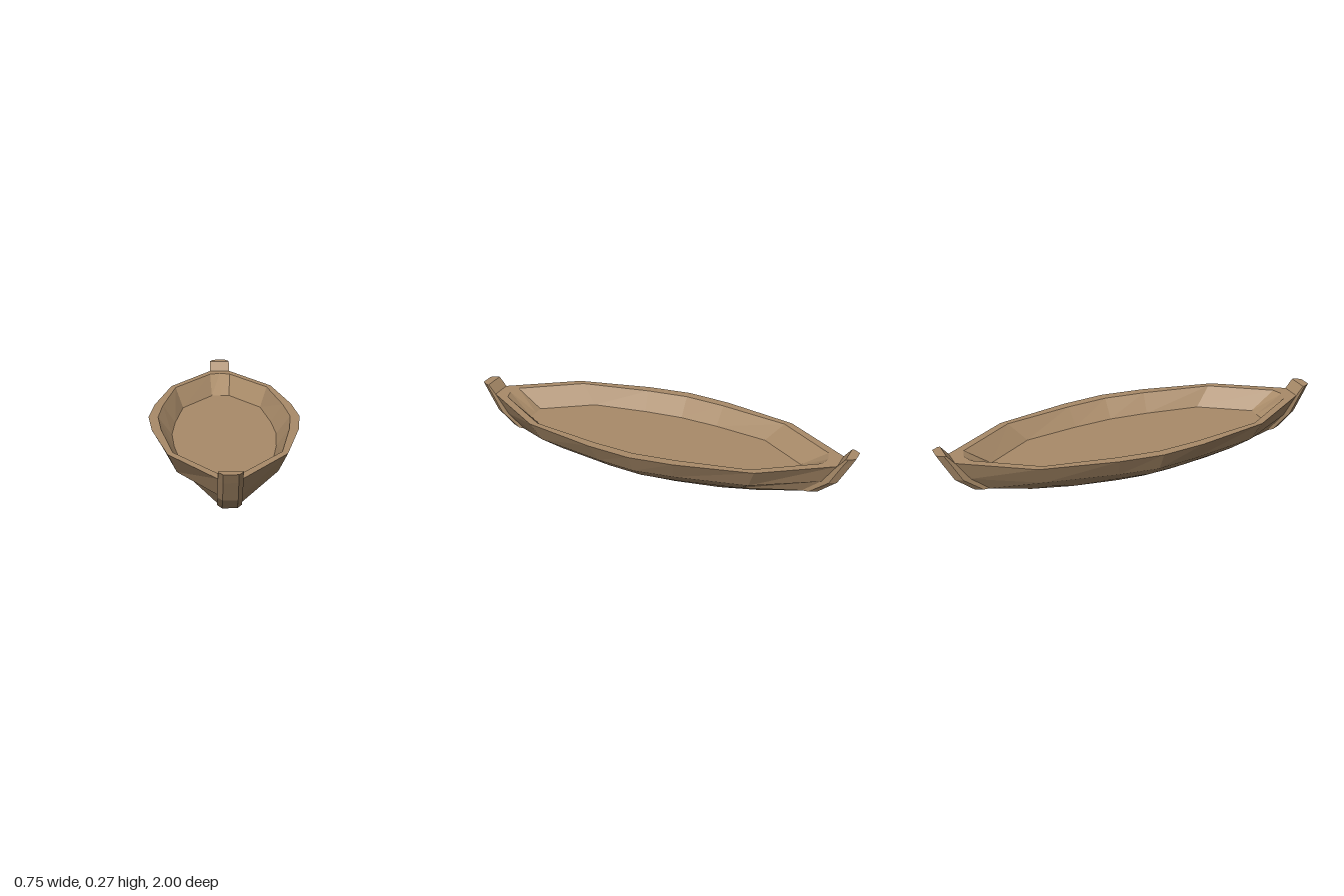
import * as THREE from 'three';

// Skin closed rings (ordered +x towards +z, from bottom to top) and cap both ends
function loft(rings) {
  const pos = [];
  const tri = (a, b, c) => pos.push(...a, ...b, ...c);
  const n = rings[0].length;
  const centre = (ring) => [0, 1, 2].map((k) => ring.reduce((s, p) => s + p[k], 0) / n);
  const first = rings[0], last = rings[rings.length - 1];
  const c0 = centre(first), c1 = centre(last);
  for (let j = 0; j < n; j++) {
    const k = (j + 1) % n;
    for (let i = 0; i < rings.length - 1; i++) {
      const a = rings[i], b = rings[i + 1];
      tri(a[j], b[j], a[k]);
      tri(b[j], b[k], a[k]);
    }
    tri(c0, first[j], first[k]);
    tri(c1, last[k], last[j]);
  }
  const geo = new THREE.BufferGeometry();
  geo.setAttribute('position', new THREE.Float32BufferAttribute(pos, 3));
  geo.computeVertexNormals();
  return geo;
}

// Mirror a quarter outline [x, z], side to bow, into a full ring at height y
function mirrorRing(y, quarter) {
  const back = quarter.slice(0, -1).reverse();
  return [
    ...quarter.map(([x, z]) => [x, y, z]),
    ...back.map(([x, z]) => [-x, y, z]),
    ...quarter.slice(1).map(([x, z]) => [-x, y, -z]),
    ...back.slice(0, -1).map(([x, z]) => [x, y, -z]),
  ];
}

export function createModel() {
  const model = new THREE.Group();
  model.name = 'boat';
  const wood = new THREE.MeshStandardMaterial({ color: 0xa98b69, flatShading: true });
  wood.name = 'wood';

  // Hull: outer planks, rim, inner wall and floor
  const hull = new THREE.Mesh(loft([
    mirrorRing(0, [[0.15, 0], [0.14, 0.14], [0.105, 0.36], [0.05, 0.55], [0, 0.55]]),
    mirrorRing(0.052, [[0.235, 0], [0.215, 0.18], [0.155, 0.48], [0.053, 0.76], [0, 0.76]]),
    mirrorRing(0.123, [[0.325, 0], [0.3, 0.2], [0.23, 0.55], [0.053, 0.85], [0, 0.85]]),
    mirrorRing(0.22, [[0.375, 0], [0.352, 0.22], [0.27, 0.59], [0.053, 0.92], [0, 0.92]]),
    mirrorRing(0.22, [[0.328, 0], [0.308, 0.21], [0.247, 0.56], [0.055, 0.845], [0, 0.862]]),
    mirrorRing(0.13, [[0.26, 0], [0.246, 0.2], [0.207, 0.475], [0.048, 0.715], [0, 0.715]]),
  ]), wood);
  hull.name = 'hull';
  model.add(hull);

  // Stem posts: tapered beams at bow and stern, [y, inner z, shoulder z, outer z]
  const sections = [
    [0.053, 0.74, 0.79, 0.83],
    [0.123, 0.83, 0.885, 0.92],
    [0.22, 0.919, 0.94, 0.975],
    [0.266, 0.957, 0.968, 1],
  ];
  const stemGeometry = loft(sections.map(([y, zi, zs, zo]) => [
    [0.054, y, zi], [0.054, y, zs], [0.033, y, zo],
    [-0.033, y, zo], [-0.054, y, zs], [-0.054, y, zi],
  ]));
  ['bowStem', 'sternStem'].forEach((name, i) => {
    const stem = new THREE.Mesh(stemGeometry, wood);
    stem.name = name;
    stem.rotation.y = i * Math.PI;
    model.add(stem);
  });
  return model;
}
